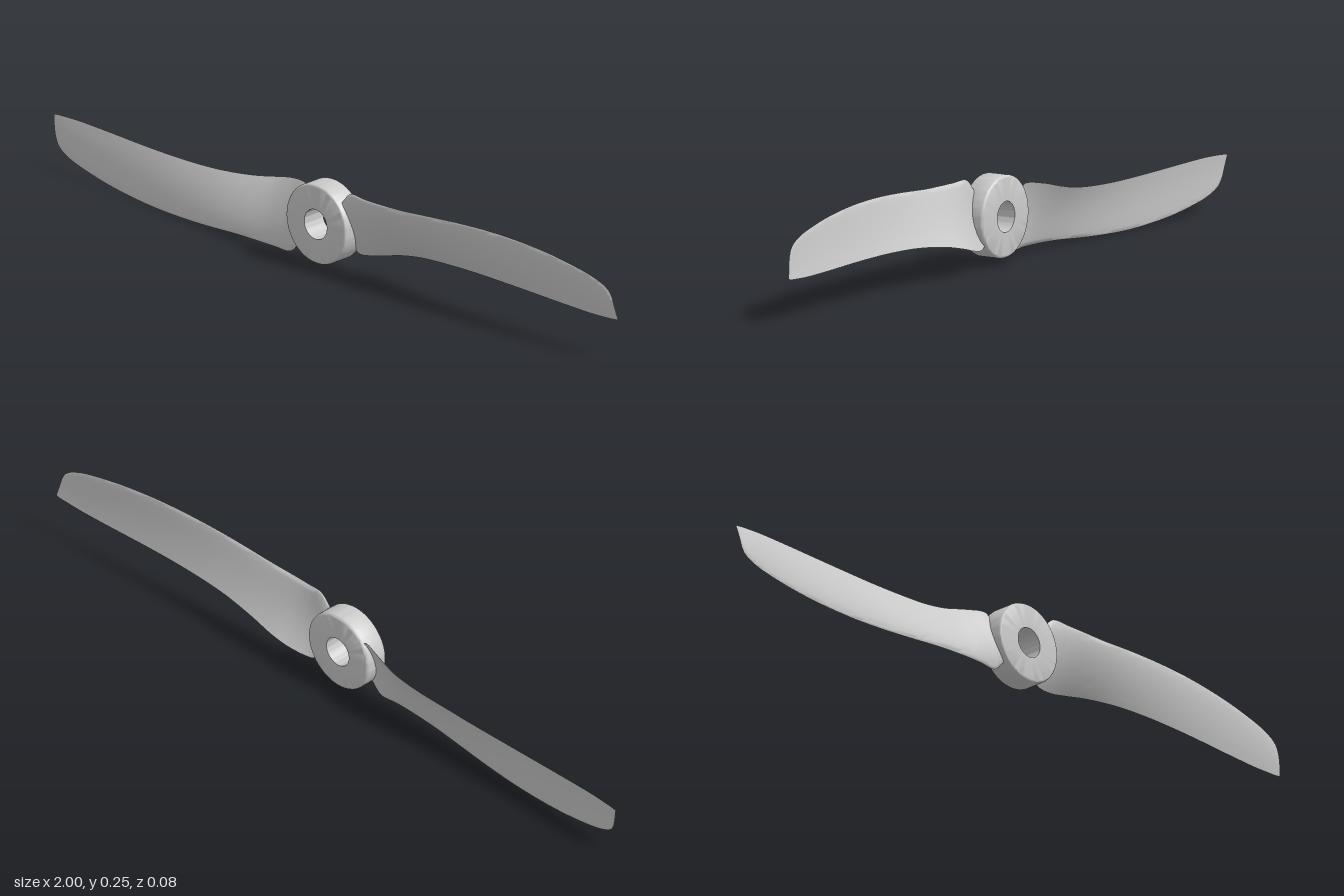
import * as THREE from 'three';
import { toCreasedNormals } from 'three/addons/utils/BufferGeometryUtils.js';

const AXIS_Y = 0.128;
const grey = new THREE.MeshStandardMaterial({ color: 0xcccccc, side: THREE.DoubleSide });

// Blade stations: leading edge x, y, z | trailing edge x, y, z | thickness
const STATIONS = [
  [0.075, 0.203, 0.022, 0.078, 0.074, -0.018, 0.026],
  [0.108, 0.234, 0.023, 0.100, 0.056, -0.021, 0.030],
  [0.160, 0.234, 0.026, 0.160, 0.064, -0.036, 0.029],
  [0.220, 0.235, 0.026, 0.220, 0.079, -0.043, 0.026],
  [0.300, 0.238, 0.023, 0.300, 0.095, -0.038, 0.022],
  [0.400, 0.246, 0.018, 0.400, 0.106, -0.030, 0.018],
  [0.500, 0.252, 0.011, 0.500, 0.111, -0.027, 0.016],
  [0.600, 0.254, 0.004, 0.600, 0.112, -0.026, 0.014],
  [0.700, 0.250, -0.003, 0.700, 0.111, -0.027, 0.012],
  [0.800, 0.240, -0.010, 0.800, 0.109, -0.029, 0.010],
  [0.900, 0.222, -0.017, 0.900, 0.108, -0.031, 0.008],
  [0.950, 0.206, -0.021, 0.955, 0.110, -0.032, 0.007],
  [0.975, 0.190, -0.024, 0.985, 0.112, -0.033, 0.005],
  [0.986, 0.172, -0.026, 1.000, 0.115, -0.033, 0.003],
];

// Twisted, cambered aerofoil lofted between the two edge curves
function bladeGeometry() {
  const edge = (k) => new THREE.CatmullRomCurve3(
    STATIONS.map((s) => new THREE.Vector3(s[k], s[k + 1] - AXIS_Y, s[k + 2])), false, 'catmullrom', 0.5);
  const lead = edge(0), trail = edge(3);
  const rings = 78, half = 16, loop = half * 2;
  const pos = [], index = [];
  for (let i = 0; i <= rings; i++) {
    const t = i / rings;
    const a = lead.getPoint(t), b = trail.getPoint(t);
    const f = t * (STATIONS.length - 1), n = Math.min(Math.floor(f), STATIONS.length - 2);
    const thick = THREE.MathUtils.lerp(STATIONS[n][6], STATIONS[n + 1][6], f - n);
    const normal = new THREE.Vector3(0, b.z - a.z, a.y - b.y).normalize();
    for (let j = 0; j < loop; j++) {
      const front = j <= half;
      const u = (1 - Math.cos(Math.PI * (front ? j : loop - j) / half)) / 2;
      // thickness falls from a rounded nose to a fine trailing edge
      const body = 5 * (0.2969 * Math.sqrt(u) - 0.126 * u - 0.3516 * u * u + 0.2843 * u ** 3 - 0.1036 * u ** 4);
      const offset = thick * ((front ? 0.5 : -0.5) * body * 2 * 0.5 + 0.35 * 4 * u * (1 - u));
      const p = a.clone().lerp(b, u).addScaledVector(normal, offset);
      pos.push(p.x, p.y, p.z);
    }
  }
  for (let i = 0; i < rings; i++) {
    for (let j = 0; j < loop; j++) {
      const k = (j + 1) % loop;
      const a = i * loop + j, b = i * loop + k;
      index.push(a, b, a + loop, b, b + loop, a + loop);
    }
  }
  // end caps
  const tip = rings * loop;
  for (let j = 1; j < loop - 1; j++) {
    index.push(0, j + 1, j, tip, tip + j, tip + j + 1);
  }
  const g = new THREE.BufferGeometry();
  g.setAttribute('position', new THREE.Float32BufferAttribute(pos, 3));
  g.setIndex(index);
  return toCreasedNormals(g, 0.9);
}

// Hub ring with rounded outer rims and a straight bore
function hubGeometry() {
  const R = 0.107, bore = 0.04, z0 = -0.027, z1 = 0.041, r = 0.008;
  const profile = [new THREE.Vector2(bore, z0)];
  for (const [cy, start] of [[z0 + r, -Math.PI / 2], [z1 - r, 0]]) {
    for (let i = 0; i <= 4; i++) {
      const a = start + (i / 4) * Math.PI / 2;
      profile.push(new THREE.Vector2(R - r + r * Math.cos(a), cy + r * Math.sin(a)));
    }
  }
  profile.push(new THREE.Vector2(bore, z1), new THREE.Vector2(bore, z0));
  return toCreasedNormals(new THREE.LatheGeometry(profile, 72).rotateX(Math.PI / 2), 0.6);
}

export function createModel() {
  const propeller = new THREE.Group();
  propeller.name = 'propeller';

  const add = (name, geometry) => {
    const mesh = new THREE.Mesh(geometry, grey);
    mesh.name = name;
    mesh.position.y = AXIS_Y;
    propeller.add(mesh);
    return mesh;
  };

  add('hub', hubGeometry());
  const blade = bladeGeometry();
  add('leftBlade', blade);
  add('rightBlade', blade).rotation.z = Math.PI;
  return propeller;
}
